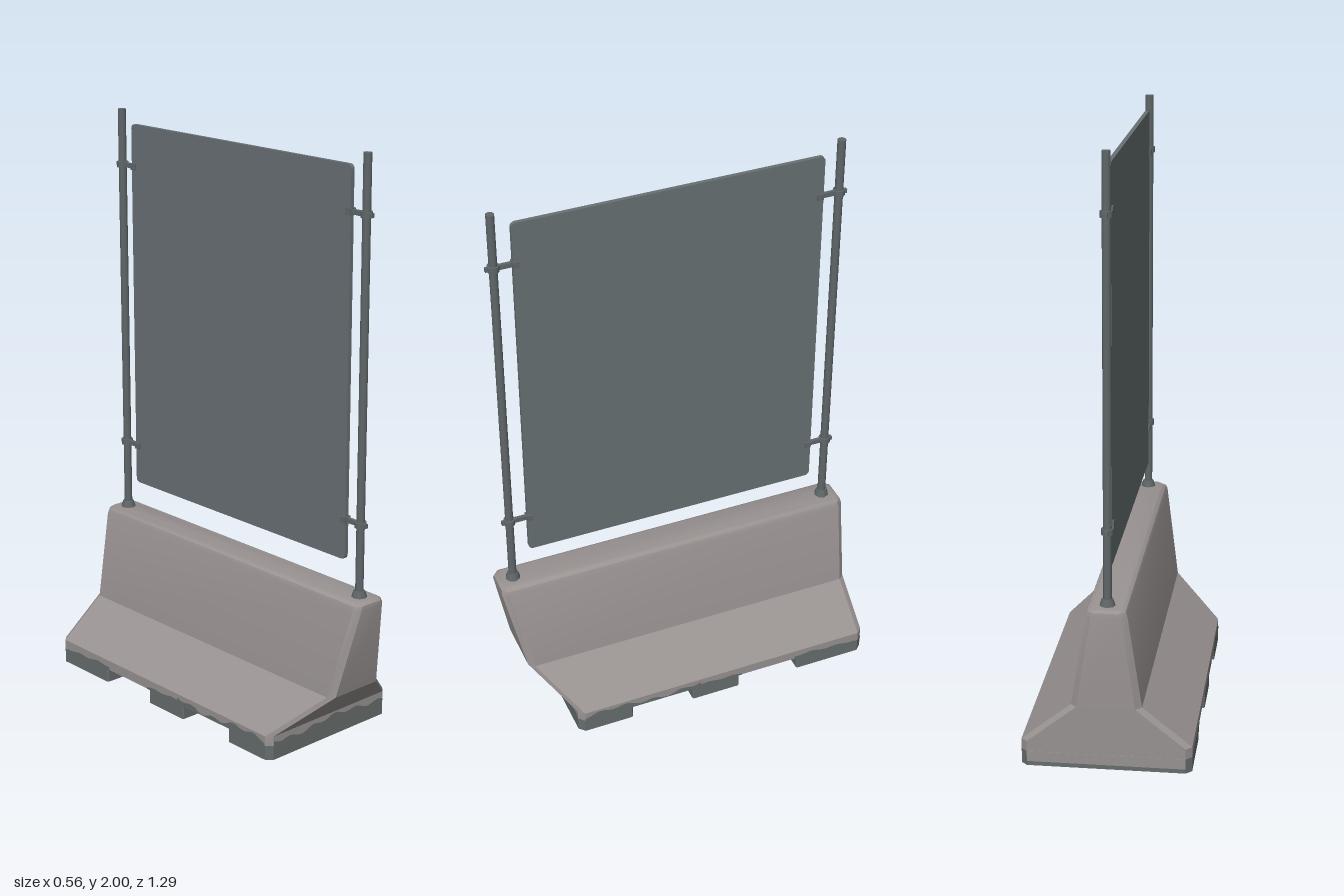
import * as THREE from 'three';
import { toCreasedNormals } from 'three/addons/utils/BufferGeometryUtils.js';

const mat = (name, color) => {
  const m = new THREE.MeshStandardMaterial({ color });
  m.name = name;
  return m;
};

// Chamfered rectangle in the ground plane, running +z, +x, -z, -x
function outline({ hx, zF, zB, cF = 0.004, cB = 0.004 }) {
  const half = [[hx - cF, zF], [hx, zF - cF], [hx, zB + cB], [hx - cB, zB]];
  return [...half, ...half.map(([x, z]) => [-x, z]).reverse()];
}

// Stack of outlines joined into a closed solid; group 1 is the underside
function loft(rings) {
  const pos = [], idx = [], n = 8;
  for (const r of rings) for (const [x, z] of outline(r)) pos.push(x, r.y, z);
  for (let k = 0; k < rings.length - 1; k++)
    for (let i = 0; i < n; i++) {
      const a = k * n + i, b = k * n + (i + 1) % n;
      idx.push(a, b, b + n, a, b + n, a + n);
    }
  const top = (rings.length - 1) * n;
  for (let i = 1; i < n - 1; i++) idx.push(top, top + i, top + i + 1);
  const split = idx.length;
  for (let i = 1; i < n - 1; i++) idx.push(0, i + 1, i);
  const g = new THREE.BufferGeometry();
  g.setAttribute('position', new THREE.Float32BufferAttribute(pos, 3));
  g.setIndex(idx);
  g.addGroup(0, split, 0);
  g.addGroup(split, idx.length - split, 1);
  return toCreasedNormals(g, 0.5);
}

// Ragged strip from u0 to u1, its height given by a wavy rule
function raggedStrip(u0, u1, y0, height) {
  const s = new THREE.Shape();
  s.moveTo(u0, y0);
  s.lineTo(u1, y0);
  const n = 28;
  for (let i = 0; i <= n; i++) {
    const u = u1 + (u0 - u1) * i / n;
    const wave = 0.5 + 0.28 * Math.sin(u * 17 + 1) + 0.22 * Math.sin(u * 61);
    s.lineTo(u, y0 + 0.003 + height * wave);
  }
  return new THREE.ShapeGeometry(s);
}

export function createModel() {
  const model = new THREE.Group();
  model.name = 'barrierWithScreen';
  const concrete = mat('concrete', 0x989291);
  const stain = mat('dampConcrete', 0x666d6c);
  const steel = mat('steel', 0x606769);
  const sheet = mat('screenSheet', 0x687073);
  stain.side = THREE.DoubleSide;

  const add = (name, geo, material, x = 0, y = 0, z = 0, parent = model) => {
    const m = new THREE.Mesh(geo, material);
    m.name = name;
    m.position.set(x, y, z);
    parent.add(m);
    return m;
  };

  // Concrete barrier, with the front end leaning outward
  const back = { zB: -0.645, cB: 0.02, cF: 0.02 };
  add('barrierBody', loft([
    { y: 0.05, hx: 0.278, zF: 0.46, ...back },
    { y: 0.085, hx: 0.278, zF: 0.46, ...back },
    { y: 0.215, hx: 0.115, zF: 0.582, ...back },
    { y: 0.525, hx: 0.068, zF: 0.645, ...back },
    { y: 0.54, hx: 0.062, zF: 0.643, ...back, zB: -0.642 },
    { y: 0.548, hx: 0.05, zF: 0.634, ...back, zB: -0.633 },
  ]), [concrete, stain]);

  // Three feet with lifting channels between them
  const feet = [
    { zF: 0.46, zB: 0.26, cF: 0.02 },
    { zF: 0.03, zB: -0.15 },
    { zF: -0.38, zB: -0.645, cB: 0.02 },
  ];
  feet.forEach((f, i) => add('foot' + (i + 1),
    loft([{ y: 0, hx: 0.278, ...f }, { y: 0.05, hx: 0.278, ...f }]), [stain, stain]));
  add('backFootFace', new THREE.BoxGeometry(0.516, 0.035, 0.003), concrete, 0, 0.0325, -0.645);

  // Damp marks along the lower edge
  for (const side of [-1, 1]) {
    const spans = [[-0.44, 0.0, 0.028], [0.0, 0.16, 0.012], [0.37, 0.61, 0.014]];
    for (const [a, b, h] of spans)
      add('sideDampMark', raggedStrip(a, b, 0.05, h), stain, side * 0.2795)
        .rotation.y = Math.PI / 2;
  }
  add('frontDampMark', raggedStrip(-0.258, 0.258, 0.05, 0.028), stain, 0, 0, 0.4615);

  // Screen sheet with softly rounded corners
  const w = 0.528, h = 0.648, r = 0.016;
  const s = new THREE.Shape();
  s.absarc(w - r, h - r, r, 0, Math.PI / 2);
  s.absarc(-w + r, h - r, r, Math.PI / 2, Math.PI);
  s.absarc(-w + r, -h + r, r, Math.PI, Math.PI * 1.5);
  s.absarc(w - r, -h + r, r, Math.PI * 1.5, Math.PI * 2);
  const sheetGeo = new THREE.ExtrudeGeometry(s, { depth: 0.014, bevelEnabled: false, curveSegments: 4 });
  sheetGeo.translate(0, 0, -0.007).rotateY(Math.PI / 2);
  add('screen', sheetGeo, sheet, 0, 1.307, -0.002);

  // Posts, base collars and clamps at both ends
  for (const end of [-1, 1]) {
    const post = new THREE.Group();
    post.name = end > 0 ? 'frontPost' : 'backPost';
    const z = end * 0.588;
    add('pole', new THREE.CylinderGeometry(0.014, 0.014, 1.46, 12), steel, 0, 1.27, z, post);
    add('baseCollar', new THREE.CylinderGeometry(0.019, 0.026, 0.022, 8), steel, 0, 0.559, z, post);
    for (const y of [0.797, 1.808]) {
      add('clampRing', new THREE.CylinderGeometry(0.02, 0.02, 0.02, 12), steel, 0, y, z, post);
      add('clampArm', new THREE.BoxGeometry(0.012, 0.016, 0.08), steel, 0, y, end * 0.545, post);
      add('clampJaw', new THREE.BoxGeometry(0.026, 0.022, 0.022), steel, 0, y, end * 0.518, post);
      add('clampBolt', new THREE.BoxGeometry(0.012, 0.014, 0.012), steel, 0, y, end * 0.609, post);
    }
    model.add(post);
  }
  return model;
}
